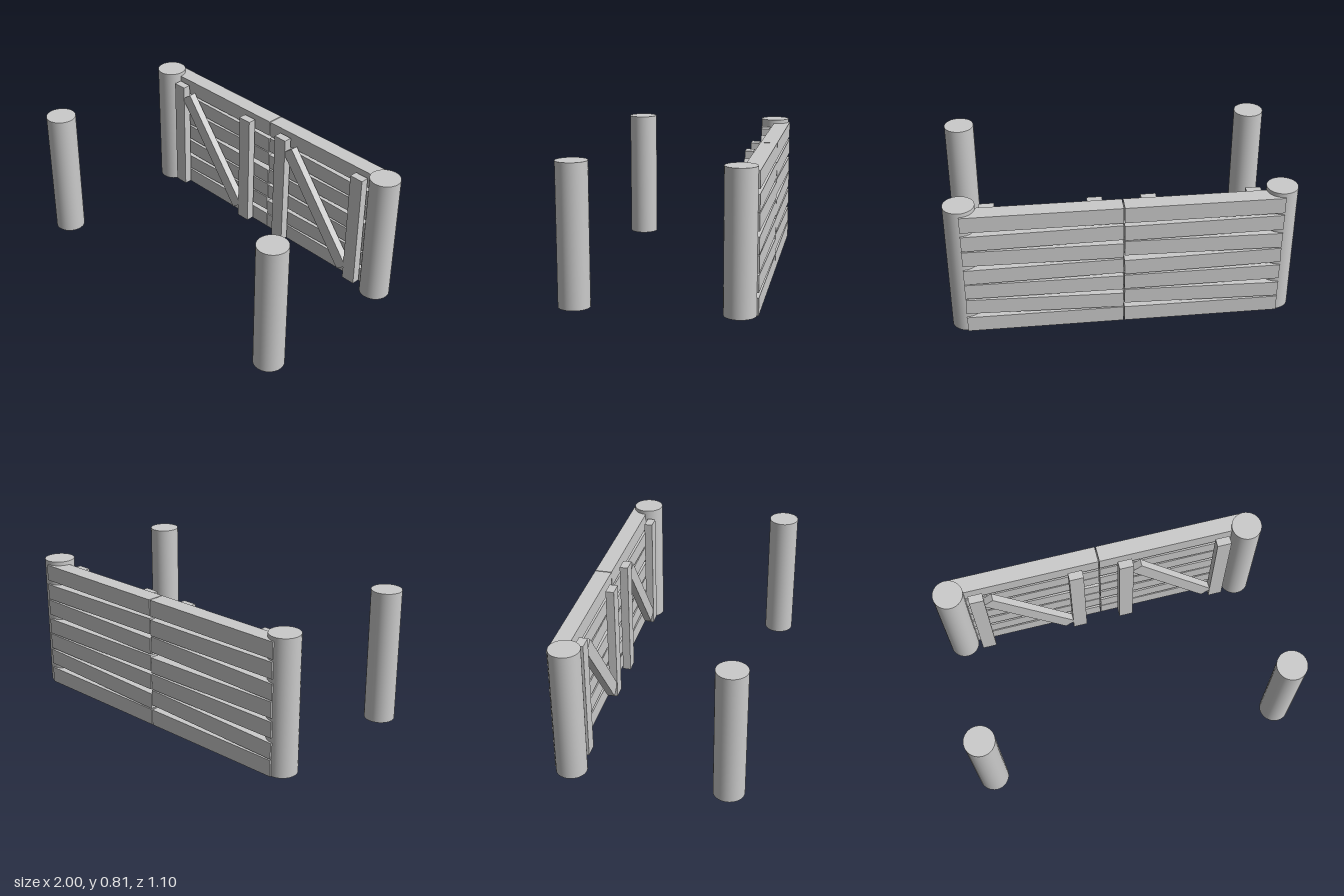
import * as THREE from 'three';

const material = new THREE.MeshStandardMaterial({ color: 0xcccccc });

function addBox(parent, name, size, position, tilt = 0) {
  const mesh = new THREE.Mesh(new THREE.BoxGeometry(...size), material);
  mesh.name = name;
  mesh.position.set(...position);
  mesh.rotation.z = tilt;
  parent.add(mesh);
}

export function createModel() {
  const model = new THREE.Group();
  model.name = 'gate';

  // Four round posts: two carry the gate, two stand in front
  const postGeometry = new THREE.CylinderGeometry(0.09, 0.09, 0.81, 32);
  for (const x of [-0.91, 0.91]) {
    for (const [name, z] of [['gatePost', -0.45], ['frontPost', 0.46]]) {
      const post = new THREE.Mesh(postGeometry, material);
      post.name = name;
      post.position.set(x, 0.405, z);
      model.add(post);
    }
  }

  // Plank centre heights per leaf: [at left end, at right end]
  const leaves = [
    {
      name: 'rightLeaf', x: -0.457, battens: [-0.757, -0.153],
      rows: [[0.05, 0.05], [0.154, 0.178], [0.28, 0.28], [0.398, 0.384],
        [0.501, 0.516], [0.624, 0.617], [0.737, 0.737]],
    },
    {
      name: 'leftLeaf', x: 0.457, battens: [0.153, 0.757],
      rows: [[0.05, 0.05], [0.152, 0.176], [0.277, 0.282], [0.396, 0.383],
        [0.501, 0.51], [0.624, 0.612], [0.737, 0.737]],
    },
  ];

  for (const { name, x, battens, rows } of leaves) {
    const leaf = new THREE.Group();
    leaf.name = name;
    model.add(leaf);

    // Slightly crooked horizontal planks
    rows.forEach(([a, b], i) => {
      const edge = i === 0 || i === rows.length - 1;
      addBox(leaf, 'plank', [0.908, edge ? 0.098 : 0.096, 0.1],
        [x, (a + b) / 2, -0.5], Math.atan2(b - a, 0.908));
    });

    // Upright battens and the diagonal brace between them
    for (const bx of battens) addBox(leaf, 'batten', [0.087, 0.74, 0.05], [bx, 0.395, -0.405]);
    addBox(leaf, 'brace', [0.783, 0.084, 0.046], [(battens[0] + battens[1]) / 2, 0.395, -0.407],
      -Math.atan2(0.789, 0.614));
  }

  return model;
}
